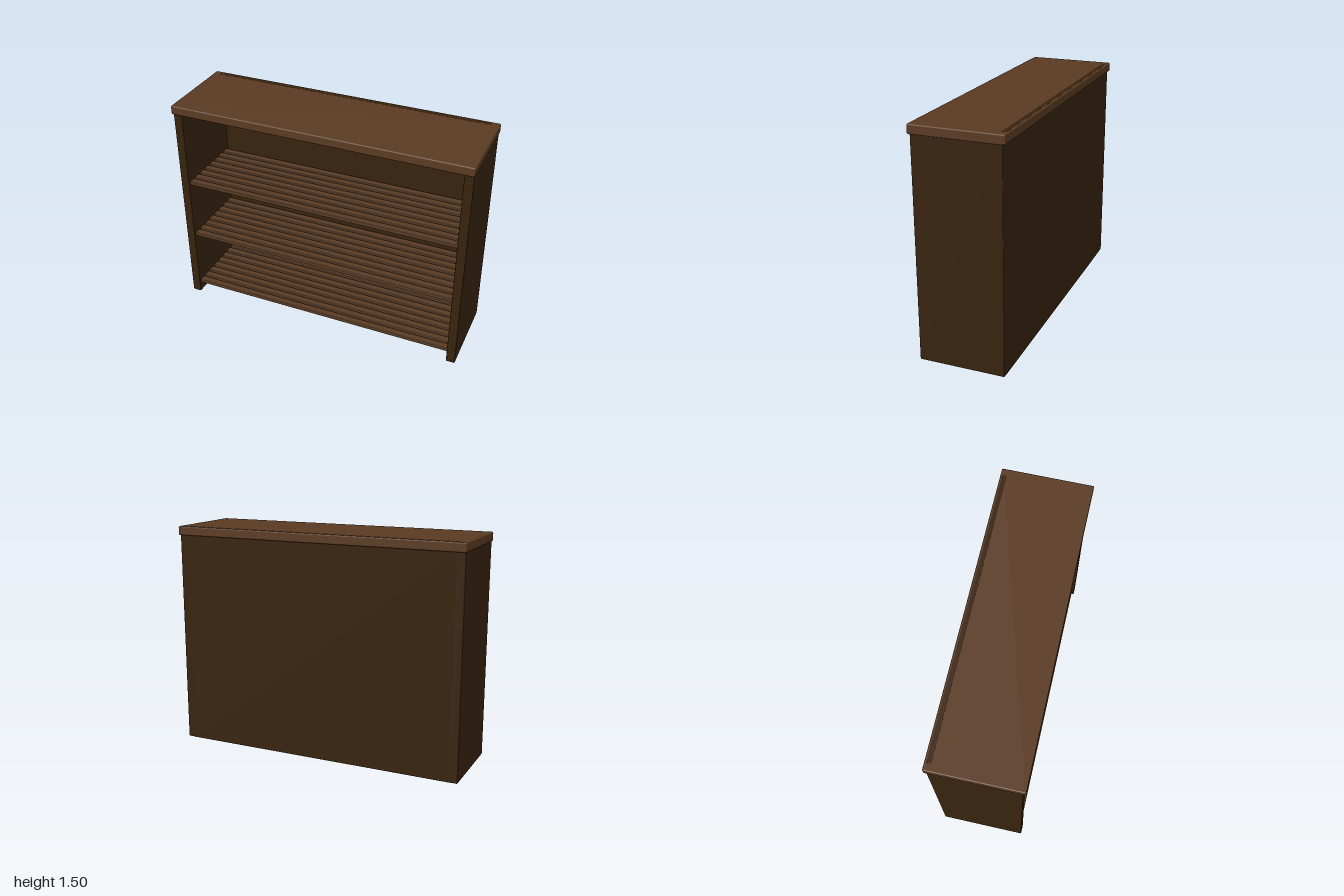
import * as THREE from 'three';
import { RoundedBoxGeometry } from 'three/addons/geometries/RoundedBoxGeometry.js';

export function createModel() {
  const group = new THREE.Group();
  group.name = 'slattedShelf';

  const darkWood = new THREE.MeshStandardMaterial({ color: 0x38230f });
  darkWood.name = 'dark wood';
  const lightWood = new THREE.MeshStandardMaterial({ color: 0x5a3b23 });
  lightWood.name = 'light wood';

  // Board given by its extents, with slightly softened edges
  function board(name, material, [x0, x1], [y0, y1], [z0, z1], radius = 0.005, parent = group) {
    const geometry = new RoundedBoxGeometry(x1 - x0, y1 - y0, z1 - z0, 2, radius);
    const mesh = new THREE.Mesh(geometry, material);
    mesh.position.set((x0 + x1) / 2, (y0 + y1) / 2, (z0 + z1) / 2);
    mesh.name = name;
    parent.add(mesh);
    return mesh;
  }

  // Carcass
  board('leftSide', darkWood, [0.935, 0.995], [0, 1.46], [-0.28, 0.28]);
  board('rightSide', darkWood, [-0.995, -0.935], [0, 1.46], [-0.28, 0.28]);
  board('backPanel', darkWood, [-0.95, 0.95], [0, 1.46], [-0.28, -0.255], 0.002);
  board('topBoard', lightWood, [-1, 1], [1.44, 1.5], [-0.297, 0.297], 0.008);

  // Dark inlay where the back panel shows on the top board
  const inlay = new THREE.Mesh(new THREE.BoxGeometry(1.9, 0.004, 0.03), darkWood);
  inlay.position.set(0, 1.4985, -0.27);
  inlay.name = 'topInlay';
  group.add(inlay);

  // Three shelves, each a row of slats running between the sides
  const slatCount = 8, pitch = 0.065, slatDepth = 0.047;
  [0.07, 0.488, 0.906].forEach((y, i) => {
    const shelf = new THREE.Group();
    shelf.name = ['lowerShelf', 'middleShelf', 'upperShelf'][i];
    for (let s = 0; s < slatCount; s++) {
      const front = 0.265 - s * pitch;
      board('slat', lightWood, [-0.937, 0.937], [y, y + 0.026], [front - slatDepth, front], 0.004, shelf);
    }
    group.add(shelf);
  });

  return group;
}
